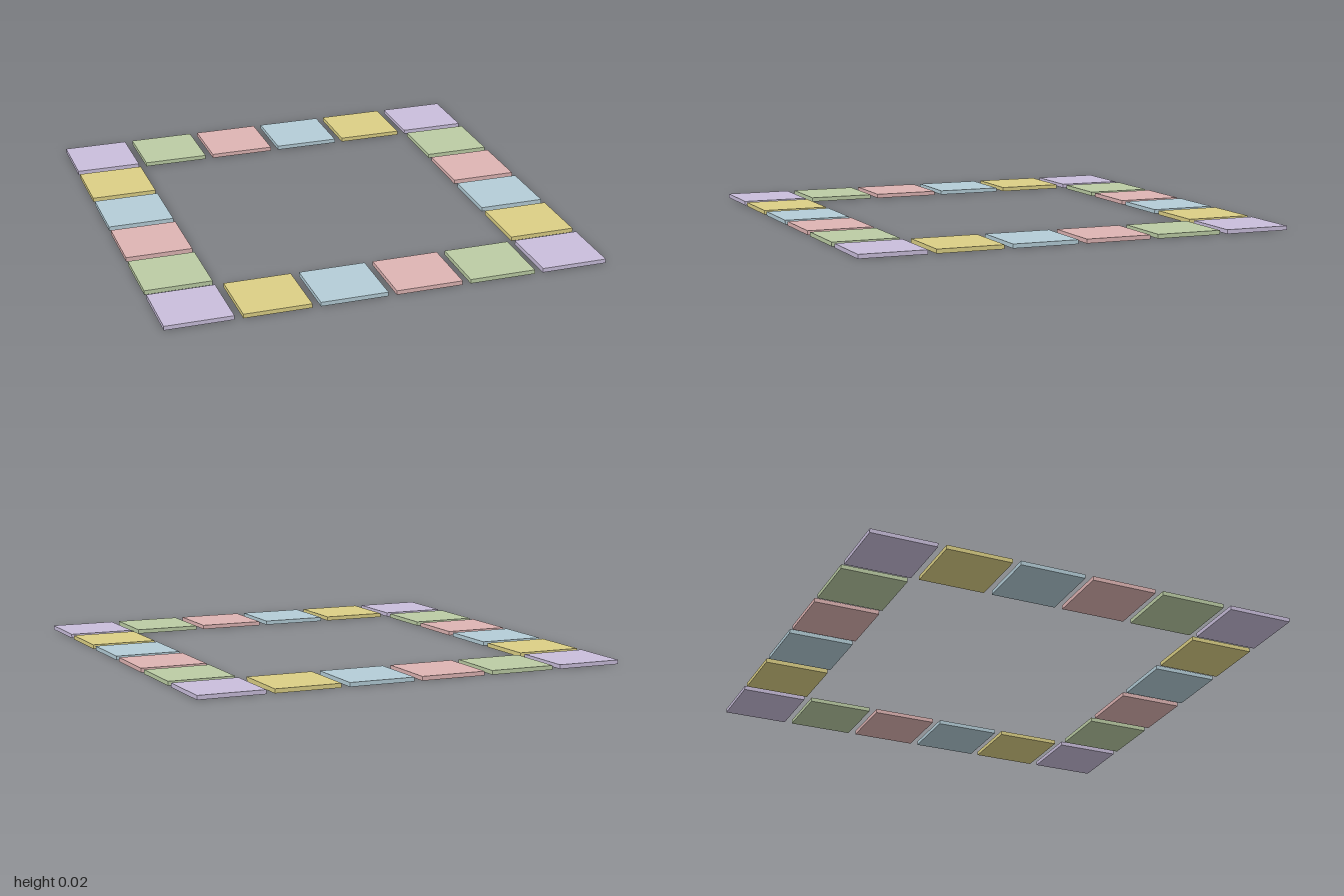
import * as THREE from 'three';

const TILE = 1.6 / 5.3;   // side of a square tile
const PITCH = 1.8 / 5.3;  // distance between tile centres
const THICK = 0.1 / 5.3;

export function createModel() {
  const model = new THREE.Group();
  model.name = 'tileRing';

  // One side of the ring: a corner tile, then four coloured tiles
  const kinds = [
    ['cornerTile', 0xc9bedb],
    ['yellowTile', 0xdbcf85],
    ['blueTile', 0xb4cdd7],
    ['redTile', 0xdeb4b3],
    ['greenTile', 0xbbcca4],
  ].map(([name, color]) => ({ name, material: new THREE.MeshStandardMaterial({ color }) }));

  const geometry = new THREE.BoxGeometry(TILE, THICK, TILE);
  const edge = 2.5 * PITCH; // centre line of each side

  // The same run of tiles, turned a quarter for each side
  ['frontSide', 'leftSide', 'backSide', 'rightSide'].forEach((sideName, s) => {
    const side = new THREE.Group();
    side.name = sideName;
    side.rotation.y = s * Math.PI / 2;
    kinds.forEach(({ name, material }, i) => {
      const tile = new THREE.Mesh(geometry, material);
      tile.name = name;
      tile.position.set(-edge + i * PITCH, THICK / 2, edge);
      side.add(tile);
    });
    model.add(side);
  });

  return model;
}
